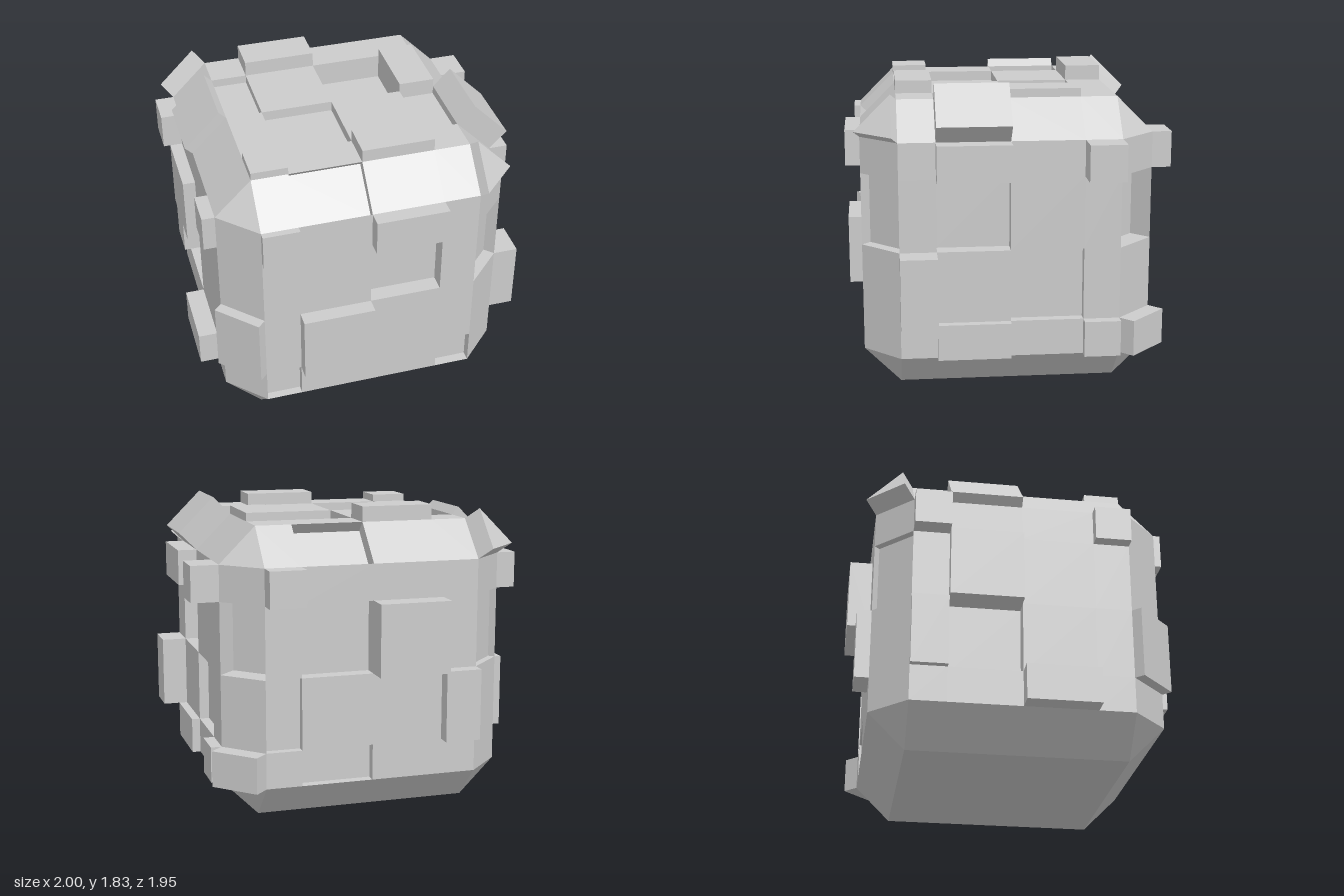
import * as THREE from 'three';

// Chamfered cube whose faces, bevels and corners are split into raised and sunken tiles
const CENTER = new THREE.Vector3(-0.025, 0.86, 0.02);
const HALF = 0.86, INNER = 0.645;
const GRID = [-INNER, -0.43, 0, 0.43, INNER];
const V = (x, y, z) => new THREE.Vector3(x, y, z);
const X = V(1, 0, 0), Y = V(0, 1, 0), Z = V(0, 0, 1);
const neg = (v) => v.clone().negate();

// weighted sum of directions, measured from the cube's centre
function point(...terms) {
  const p = CENTER.clone();
  for (const [dir, amount] of terms) p.addScaledVector(dir, amount);
  return p;
}

// a tile moved along shift, with walls back to its outline
function addTile(out, corners, shift) {
  const cap = corners.map((p) => p.clone().add(shift));
  const push = (...pts) => pts.forEach((p) => out.push(p.x, p.y, p.z));
  for (let i = 1; i < cap.length - 1; i++) push(cap[0], cap[i], cap[i + 1]);
  if (shift.lengthSq() === 0) return;
  corners.forEach((a, i) => {
    const j = (i + 1) % corners.length, b = corners[j];
    push(a, b, cap[j], a, cap[j], cap[i]);
  });
}

function addMesh(group, name, positions, material) {
  const geometry = new THREE.BufferGeometry();
  geometry.setAttribute('position', new THREE.Float32BufferAttribute(positions, 3));
  geometry.computeVertexNormals();
  const mesh = new THREE.Mesh(geometry, material);
  mesh.name = name;
  group.add(mesh);
}

// flat faces: u runs right and v up as seen from outside; rows run from top to bottom
const FACES = [
  ['frontPanels', X, Y, [[0.04, 0, 0.09, 0], [0, 0, -0.1, 0], [0, 0.09, 0, 0], [-0.05, 0, 0, -0.06]]],
  ['leftPanels', neg(Z), Y, [[0, 0.115, 0, 0.165], [0, -0.1, 0, 0], [0.15, 0, -0.06, 0], [0, 0.05, 0, 0.065]]],
  ['backPanels', neg(X), Y, [[0.115, 0, 0, 0], [0, -0.09, 0.135, 0], [-0.05, 0, 0, 0.085], [0, -0.06, 0, 0]]],
  ['rightPanels', Z, Y, [[0.115, 0, 0, 0.075], [0, 0.075, 0, 0], [0.04, -0.1, 0, 0], [0, 0, 0.115, 0]]],
  ['topPanels', X, neg(Z), [[0, 0.09, 0, 0], [-0.05, 0, -0.15, 0.05], [0, -0.06, 0, -0.05], [0.045, 0, 0.075, 0]]],
  ['base', X, Z, null],
];

// bevels between faces a and b; tiles run along a x b
const FLAT = [0, 0, 0, 0];
const BEVELS = [
  ['topFrontBevel', Y, Z, [0, -0.04, 0, 0]],
  ['topBackBevel', neg(Z), Y, [0, 0, -0.06, 0]],
  ['topLeftBevel', X, Y, [0, 0, 0.105, 0]],
  ['topRightBevel', Y, neg(X), [0, 0.045, 0, 0]],
  ['frontLeftBevel', Z, X, [0, 0, -0.05, 0]],
  ['frontRightBevel', neg(X), Z, [0, 0.045, 0, 0]],
  ['backLeftBevel', X, neg(Z), [0.075, 0, -0.1, 0]],
  ['backRightBevel', neg(Z), neg(X), [0, 0, -0.03, 0]],
  ['bottomFrontBevel', Z, neg(Y), FLAT],
  ['bottomBackBevel', neg(Z), neg(Y), FLAT],
  ['bottomLeftBevel', X, neg(Y), FLAT],
  ['bottomRightBevel', neg(X), neg(Y), FLAT],
];

export function createModel() {
  const group = new THREE.Group();
  group.name = 'tiledCube';
  const material = new THREE.MeshStandardMaterial({ color: 0xcccccc, flatShading: true });

  for (const [name, u, v, rows] of FACES) {
    const n = u.clone().cross(v), out = [];
    const at = (a, b) => point([n, HALF], [u, a], [v, b]);
    if (!rows) {
      addTile(out, [at(-INNER, -INNER), at(INNER, -INNER), at(INNER, INNER), at(-INNER, INNER)], V(0, 0, 0));
    } else {
      rows.forEach((row, r) => row.forEach((depth, i) => {
        const [a, b, c, d] = [GRID[i], GRID[i + 1], GRID[3 - r], GRID[4 - r]];
        addTile(out, [at(a, c), at(b, c), at(b, d), at(a, d)], n.clone().multiplyScalar(depth));
      }));
    }
    addMesh(group, name, out, material);
  }

  for (const [name, a, b, depths] of BEVELS) {
    const t = a.clone().cross(b), n = a.clone().add(b), out = [];
    const onA = (g) => point([a, HALF], [b, INNER], [t, g]);
    const onB = (g) => point([b, HALF], [a, INNER], [t, g]);
    depths.forEach((depth, i) => {
      const g = GRID[i], h = GRID[i + 1];
      addTile(out, [onA(g), onB(g), onB(h), onA(h)], n.clone().multiplyScalar(depth));
    });
    addMesh(group, name, out, material);
  }

  // triangular corners, two of them raised
  const corners = [];
  for (const sx of [-1, 1]) for (const sy of [-1, 1]) for (const sz of [-1, 1]) {
    const n = V(sx, sy, sz);
    const tri = [X, Y, Z].map((axis) => point([n, INNER], [axis, (HALF - INNER) * n.dot(axis)]));
    if (sx * sy * sz < 0) tri.reverse();
    const depth = sy < 0 || sx !== sz ? 0 : sx > 0 ? 0.035 : 0.065;
    addTile(corners, tri, n.multiplyScalar(depth));
  }
  addMesh(group, 'corners', corners, material);
  return group;
}
